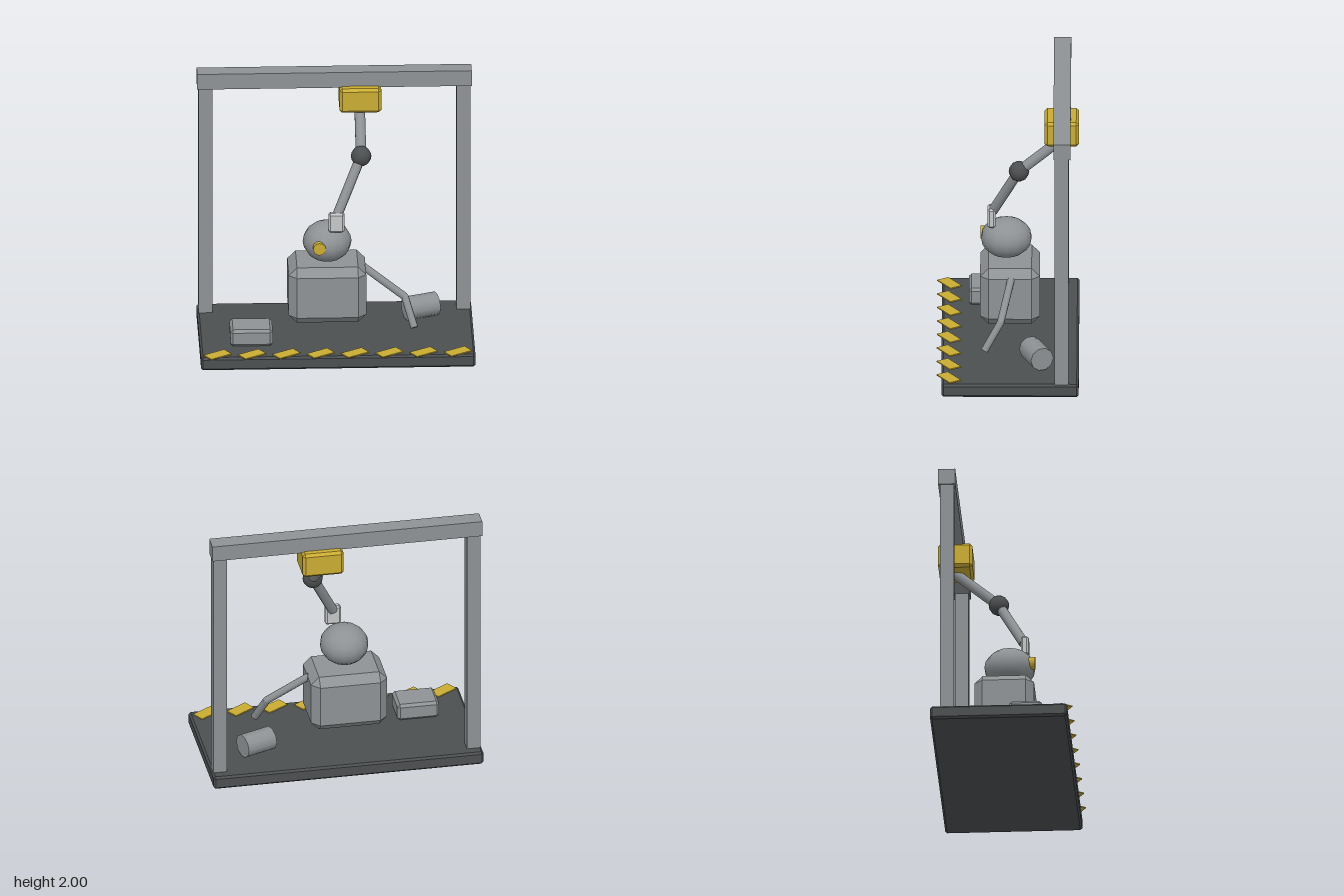
import * as THREE from 'three';
import { ConvexGeometry } from 'three/addons/geometries/ConvexGeometry.js';

function material(name, color) {
  const m = new THREE.MeshStandardMaterial({ color });
  m.name = name;
  return m;
}

// Box with 45-degree chamfers, given by its min and max corners
function chamferBox(min, max, c) {
  const half = min.map((v, i) => (max[i] - v) / 2);
  const points = [];
  for (const sx of [-1, 1]) for (const sy of [-1, 1]) for (const sz of [-1, 1]) {
    for (let full = 0; full < 3; full++) {
      const p = [sx, sy, sz].map((s, i) => s * (half[i] - (i === full ? 0 : c)));
      points.push(new THREE.Vector3(...p));
    }
  }
  const g = new ConvexGeometry(points);
  g.translate(...min.map((v, i) => (v + max[i]) / 2));
  return g;
}

function plainBox(min, max) {
  const g = new THREE.BoxGeometry(...min.map((v, i) => max[i] - v));
  g.translate(...min.map((v, i) => (v + max[i]) / 2));
  return g;
}

// Cylinder running between two points
function rod(from, to, radius, sides = 10) {
  const a = new THREE.Vector3(...from);
  const b = new THREE.Vector3(...to);
  const dir = b.clone().sub(a);
  const g = new THREE.CylinderGeometry(radius, radius, dir.length(), sides);
  g.applyQuaternion(new THREE.Quaternion().setFromUnitVectors(
    new THREE.Vector3(0, 1, 0), dir.normalize()));
  const mid = a.add(b).multiplyScalar(0.5);
  g.translate(mid.x, mid.y, mid.z);
  return g;
}

export function createModel() {
  const model = new THREE.Group();
  model.name = 'assemblyStation';

  const steel = material('steel grey', 0x8e9295);
  const dark = material('dark grey', 0x4c4f51);
  const yellow = material('safety yellow', 0xcaac32);
  const pale = material('pale grey', 0xc4c6c8);

  function add(name, geometry, mat) {
    const mesh = new THREE.Mesh(geometry, mat);
    mesh.name = name;
    model.add(mesh);
    return mesh;
  }

  // Floor slab
  add('base', chamferBox([-1, 0, -0.52], [1, 0.1, 0.48], 0.015), dark);

  // Hazard stripes along the front edge
  for (let i = 0; i < 8; i++) {
    const stripe = add('hazardStripe', new THREE.BoxGeometry(0.18, 0.008, 0.096), yellow);
    stripe.position.set(-0.877 + i * 0.25, 0.104, 0.427);
    stripe.rotation.y = 0.57;
  }

  // Gantry frame
  for (const side of [-1, 1]) {
    const post = add('gantryPost', new THREE.BoxGeometry(0.1, 1.79, 0.1), steel);
    post.position.set(side * 0.94, 0.99, -0.395);
  }
  add('gantryBeam', plainBox([-1, 1.88, -0.46], [1, 2, -0.335]), steel);

  // Hanging robot arm
  const mount = [0.185, 1.73, -0.43];
  const elbow = [0.185, 1.445, -0.083];
  const wrist = [0, 1.05, 0.11];
  add('carriage', chamferBox([0.035, 1.7, -0.52], [0.34, 1.89, -0.27], 0.02), yellow);
  add('upperArm', rod(mount, elbow, 0.04), steel);
  add('elbowJoint', new THREE.SphereGeometry(0.075, 12, 8), dark).position.set(...elbow);
  add('forearm', rod(elbow, wrist, 0.037), steel);
  add('gripper', chamferBox([-0.06, 0.935, 0.09], [0.057, 1.085, 0.147], 0.014), pale);

  // Unfinished robot: torso, head and one eye
  add('torso', chamferBox([-0.35, 0.225, -0.235], [0.215, 0.66, 0.2], 0.06), steel);
  const head = add('head', new THREE.SphereGeometry(1, 14, 10), steel);
  head.scale.set(0.178, 0.148, 0.187);
  head.position.set(-0.066, 0.817, 0.01);
  add('eye', rod([-0.127, 0.83, 0.14], [-0.127, 0.83, 0.2], 0.047, 12), yellow);

  // Limp robot arm
  const shoulder = [0.2, 0.592, -0.025];
  const bend = [0.5, 0.38, 0.05];
  const hand = [0.565, 0.185, 0.168];
  add('limpUpperArm', rod(shoulder, bend, 0.028, 8), steel);
  add('limpElbow', new THREE.SphereGeometry(0.028, 8, 6), steel).position.set(...bend);
  add('limpForearm', rod(bend, hand, 0.028, 8), steel);

  // Loose parts on the floor
  add('partsBox', chamferBox([-0.78, 0.1, 0.045], [-0.47, 0.23, 0.285], 0.02), steel);
  const drumGeometry = new THREE.CylinderGeometry(0.088, 0.088, 0.24, 10);
  drumGeometry.rotateZ(Math.PI / 2);
  const drum = add('looseDrum', drumGeometry, steel);
  drum.position.set(0.625, 0.19, -0.21);
  drum.rotation.y = 0.37;

  return model;
}
